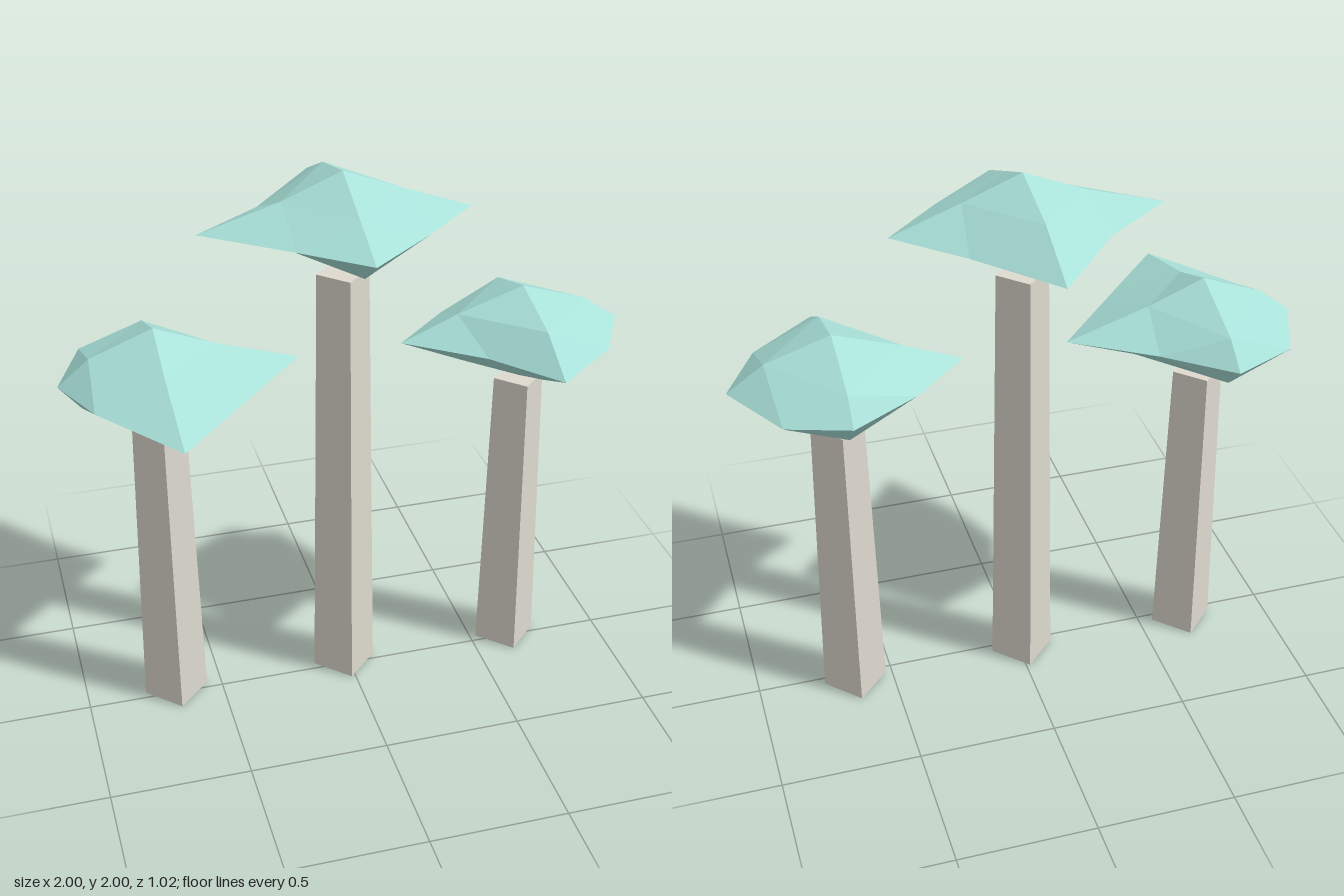
import * as THREE from 'three';

const trunkMaterial = new THREE.MeshStandardMaterial({ color: 0xdedacf, flatShading: true });
const canopyMaterial = new THREE.MeshStandardMaterial({ color: 0xa8e0d8, flatShading: true });

// Each canopy is a subdivided octahedron with irregular reach.
// tips: distances along +x, -x, +y, -y, +z, -z
// xy, zy, xz: distances of the edge midpoints in that plane, quadrants ++, +-, -+, --
const trees = [
  {
    name: 'leftTree', x: 0.64, trunk: 1.15, canopyY: 1.34,
    tips: [0.36, 0.445, 0.165, 0.19, 0.425, 0.33],
    xy: [[0.23, 0.09], [0.225, 0.1], [0.24, 0.085], [0.215, 0.1]],
    zy: [[0.245, 0.1], [0.23, 0.09], [0.25, 0.085], [0.24, 0.095]],
    xz: [[0.235, 0.235], [0.215, 0.26], [0.19, 0.195], [0.24, 0.19]],
  },
  {
    name: 'middleTree', x: -0.015, trunk: 1.64, canopyY: 1.83,
    tips: [0.45, 0.495, 0.17, 0.18, 0.4, 0.48],
    xy: [[0.205, 0.09], [0.195, 0.08], [0.21, 0.085], [0.205, 0.08]],
    zy: [[0.205, 0.083], [0.266, 0.098], [0.255, 0.106], [0.24, 0.085]],
    xz: [[0.24, 0.2], [0.235, 0.21], [0.21, 0.225], [0.25, 0.18]],
  },
  {
    name: 'rightTree', x: -0.67, trunk: 1.15, canopyY: 1.34,
    tips: [0.495, 0.33, 0.175, 0.165, 0.535, 0.36],
    xy: [[0.2, 0.095], [0.245, 0.09], [0.22, 0.09], [0.255, 0.09]],
    zy: [[0.21, 0.09], [0.27, 0.1], [0.26, 0.08], [0.27, 0.09]],
    xz: [[0.26, 0.255], [0.22, 0.18], [0.235, 0.215], [0.225, 0.26]],
  },
];

const sign = (v) => (Math.abs(v) < 0.01 ? 0 : Math.sign(v));
const quadrant = (a, b) => (a < 0 ? 2 : 0) + (b < 0 ? 1 : 0);

// Move every octahedron vertex to the reach listed for its direction
function canopyGeometry(tree) {
  const geometry = new THREE.OctahedronGeometry(1, 1);
  const pos = geometry.attributes.position;
  for (let i = 0; i < pos.count; i++) {
    const sx = sign(pos.getX(i)), sy = sign(pos.getY(i)), sz = sign(pos.getZ(i));
    let x = 0, y = 0, z = 0;
    if (sx && sy) [x, y] = tree.xy[quadrant(sx, sy)];
    else if (sz && sy) [z, y] = tree.zy[quadrant(sz, sy)];
    else if (sx && sz) [x, z] = tree.xz[quadrant(sx, sz)];
    else if (sx) x = tree.tips[sx > 0 ? 0 : 1];
    else if (sy) y = tree.tips[sy > 0 ? 2 : 3];
    else z = tree.tips[sz > 0 ? 4 : 5];
    pos.setXYZ(i, sx * x, sy * y, sz * z);
  }
  geometry.computeVertexNormals();
  return geometry;
}

function makeTree(tree) {
  const group = new THREE.Group();
  group.name = tree.name;
  group.position.set(tree.x, 0, -0.03);

  // Four-sided tapering trunk, corners facing the axes
  const trunk = new THREE.Mesh(new THREE.CylinderGeometry(0.093, 0.117, tree.trunk, 4), trunkMaterial);
  trunk.name = 'trunk';
  trunk.position.y = tree.trunk / 2;

  // Faceted, flattened canopy
  const canopy = new THREE.Mesh(canopyGeometry(tree), canopyMaterial);
  canopy.name = 'canopy';
  canopy.position.y = tree.canopyY;

  group.add(trunk, canopy);
  return group;
}

export function createModel() {
  const model = new THREE.Group();
  model.name = 'treeGroup';
  trees.forEach((tree) => model.add(makeTree(tree)));
  return model;
}
